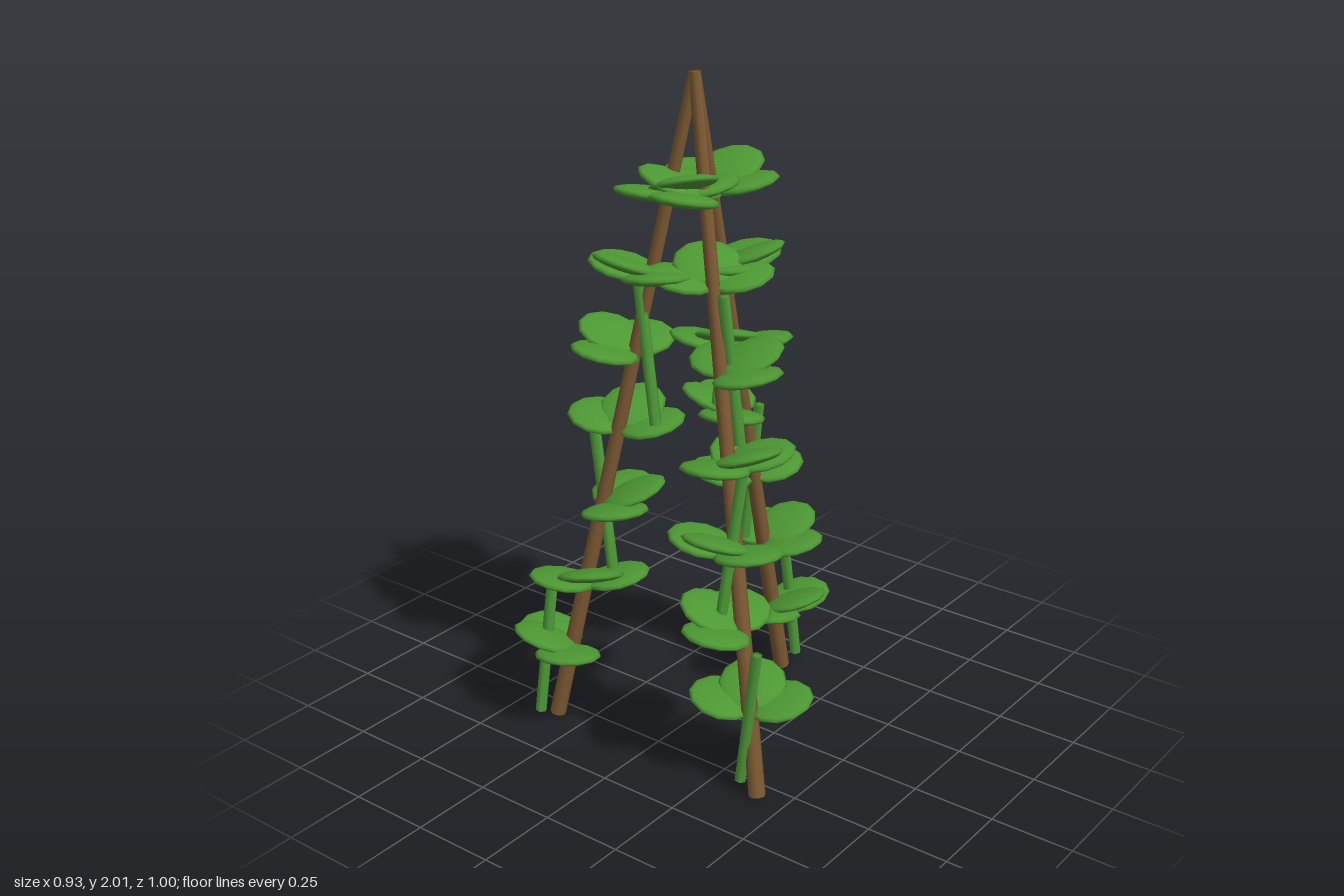
import * as THREE from 'three';
import { mergeVertices } from 'three/addons/utils/BufferGeometryUtils.js';

export function createModel() {
  const root = new THREE.Group();
  root.name = 'climbingBeanTripod';
  const wood = new THREE.MeshStandardMaterial({ name: 'poleBrown', color: 0x7d5a33 });
  const leafGreen = new THREE.MeshStandardMaterial({ name: 'leafGreen', color: 0x4d9833 });
  const vineGreen = new THREE.MeshStandardMaterial({ name: 'vineGreen', color: 0x4f9c38 });
  const V = (x, y, z) => new THREE.Vector3(x, y, z);

  // Straight tapered rod between two points, smooth over its end caps
  function rod(name, a, b, rBottom, rTop, sides, material) {
    const cylinder = new THREE.CylinderGeometry(rTop, rBottom, a.distanceTo(b), sides);
    cylinder.deleteAttribute('normal');
    cylinder.deleteAttribute('uv');
    const geometry = mergeVertices(cylinder);
    geometry.computeVertexNormals();
    const mesh = new THREE.Mesh(geometry, material);
    mesh.name = name;
    mesh.position.copy(a).lerp(b, 0.5);
    mesh.quaternion.setFromUnitVectors(V(0, 1, 0), b.clone().sub(a).normalize());
    root.add(mesh);
  }

  // Three flattened leaves fanned around one facing direction (local +x)
  const leafGeometry = new THREE.SphereGeometry(1, 12, 8);
  leafGeometry.scale(0.1, 0.02, 0.1);
  const leaves = [
    { spread: 0, lift: 0.022, tilt: 0.38, out: 0.09 },
    { spread: Math.PI / 3, lift: -0.006, tilt: 0.22, out: 0.094 },
    { spread: -Math.PI / 3, lift: -0.006, tilt: 0.22, out: 0.094 },
  ];
  function leafCluster(position, azimuth) {
    const cluster = new THREE.Group();
    cluster.name = 'leafCluster';
    cluster.position.copy(position);
    cluster.rotation.y = -azimuth;
    for (const { spread, lift, tilt, out } of leaves) {
      const arm = new THREE.Group();
      arm.name = 'leafArm';
      arm.rotation.y = spread;
      const leaf = new THREE.Mesh(leafGeometry, leafGreen);
      leaf.name = 'leaf';
      leaf.position.set(out, lift, 0);
      leaf.rotation.z = tilt;
      arm.add(leaf);
      cluster.add(arm);
    }
    root.add(cluster);
  }

  // Each pole: foot, facing of its lowest cluster, and three vine pieces (bottom, top)
  const apex = V(-0.1, 2, 0.03);
  const poles = [
    {
      foot: V(0.35, 0, 0.03), facing: 90,
      vines: [[V(0.4, 0.03, 0.05), V(0.35, 0.46, 0.03)],
        [V(0.21, 0.5, -0.02), V(0.21, 0.95, 0.03)],
        [V(0.01, 0.98, 0.02), V(0.07, 1.42, 0.03)]],
    },
    {
      foot: V(-0.31, 0, 0.41), facing: -30,
      vines: [[V(-0.31, 0.03, 0.35), V(-0.32, 0.46, 0.41)],
        [V(-0.28, 0.5, 0.255), V(-0.24, 0.95, 0.3)],
        [V(-0.13, 0.98, 0.21), V(-0.17, 1.42, 0.18)]],
    },
    {
      foot: V(-0.31, 0, -0.35), facing: 210,
      vines: [[V(-0.37, 0.03, -0.365), V(-0.32, 0.46, -0.345)],
        [V(-0.22, 0.5, -0.19), V(-0.22, 0.95, -0.25)],
        [V(-0.17, 0.98, -0.06), V(-0.18, 1.42, -0.11)]],
    },
  ];

  for (const { foot, facing, vines } of poles) {
    rod('pole', foot, apex, 0.025, 0.017, 8, wood);
    for (const [bottom, top] of vines) rod('vine', bottom, top, 0.018, 0.018, 6, vineGreen);
    // Seven clusters turning steadily on the way up
    for (let i = 0; i < 7; i++) {
      const y = 0.263 + 0.238 * i;
      const position = foot.clone().lerp(apex, y / 2);
      leafCluster(position, THREE.MathUtils.degToRad(facing - 75 * i));
    }
  }
  return root;
}
